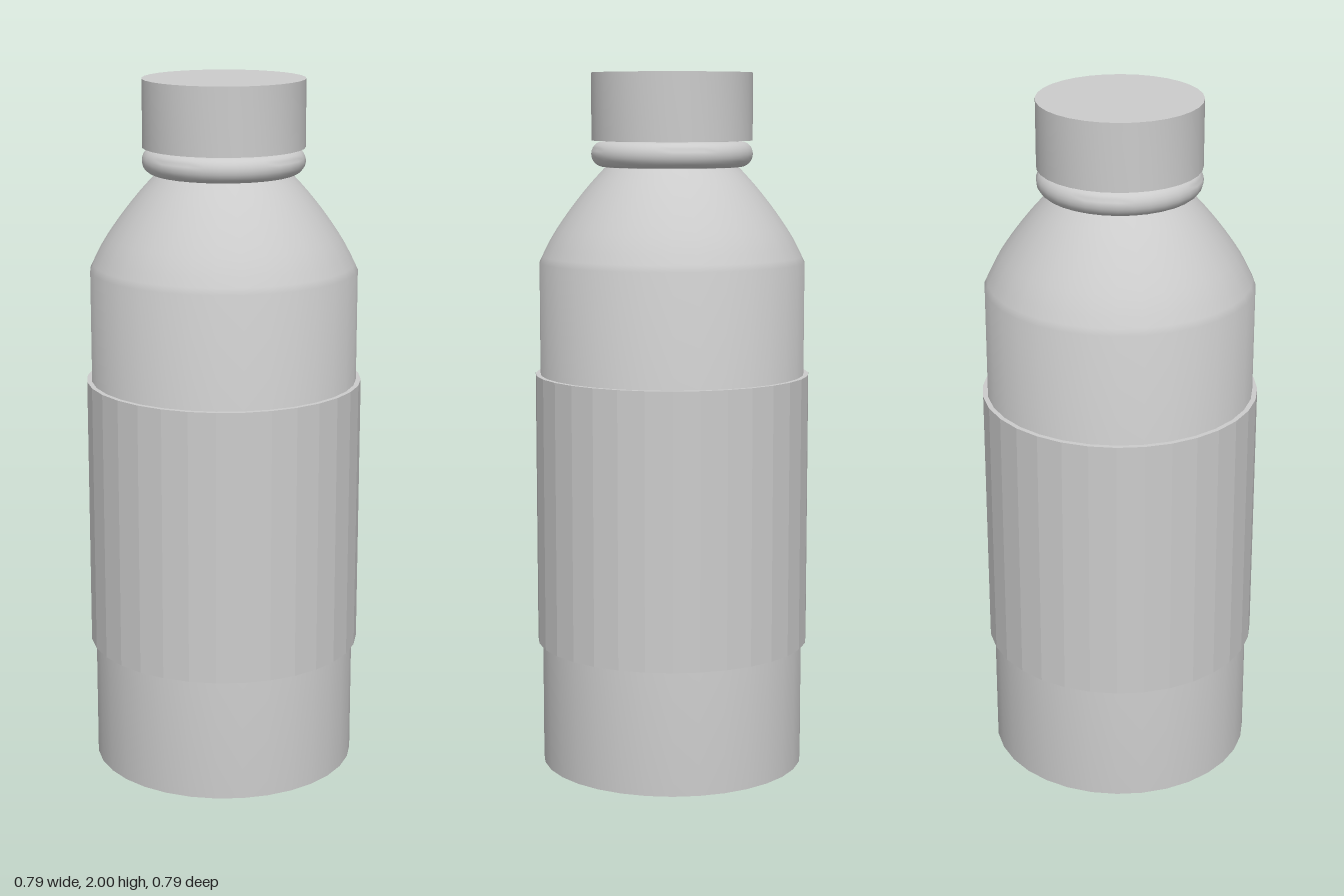
import * as THREE from 'three';
import { toCreasedNormals } from 'three/addons/utils/BufferGeometryUtils.js';

const SIDES = 32;

// Turns a bottom-to-top list of [radius, height] points into a named part.
function turned(name, profile, flatShading = false) {
  const points = profile.map(([r, y]) => new THREE.Vector2(r, y));
  const geometry = toCreasedNormals(new THREE.LatheGeometry(points, SIDES), 0.6);
  const material = new THREE.MeshStandardMaterial({ color: 0xcccccc, flatShading });
  const mesh = new THREE.Mesh(geometry, material);
  mesh.name = name;
  return mesh;
}

export function createModel() {
  const bottle = new THREE.Group();
  bottle.name = 'bottle';

  // Straight body with a flat base and a domed shoulder
  const shoulder = new THREE.SplineCurve([
    [0.38, 1.465], [0.345, 1.535], [0.295, 1.61], [0.24, 1.68], [0.19, 1.735],
  ].map(([r, y]) => new THREE.Vector2(r, y))).getPoints(12).map((p) => [p.x, p.y]);
  bottle.add(turned('body', [[0, 0], [0.38, 0], ...shoulder, [0.19, 1.82]]));

  // Faceted sleeve wrapped around the body
  bottle.add(turned('labelSleeve', [[0.375, 0.36], [0.394, 0.36], [0.394, 1.145], [0.375, 1.145]], true));

  // Rounded ring below the cap
  const ring = [];
  for (let i = 0; i <= 12; i++) {
    const a = -Math.PI / 2 + (i / 12) * Math.PI;
    ring.push([0.195 + 0.035 * Math.cos(a), 1.772 + 0.036 * Math.sin(a)]);
  }
  bottle.add(turned('neckRing', [[0.18, 1.736], ...ring, [0.18, 1.808]]));

  // Plain closed cap
  bottle.add(turned('cap', [[0, 1.81], [0.229, 1.81], [0.229, 2], [0, 2]]));

  return bottle;
}
